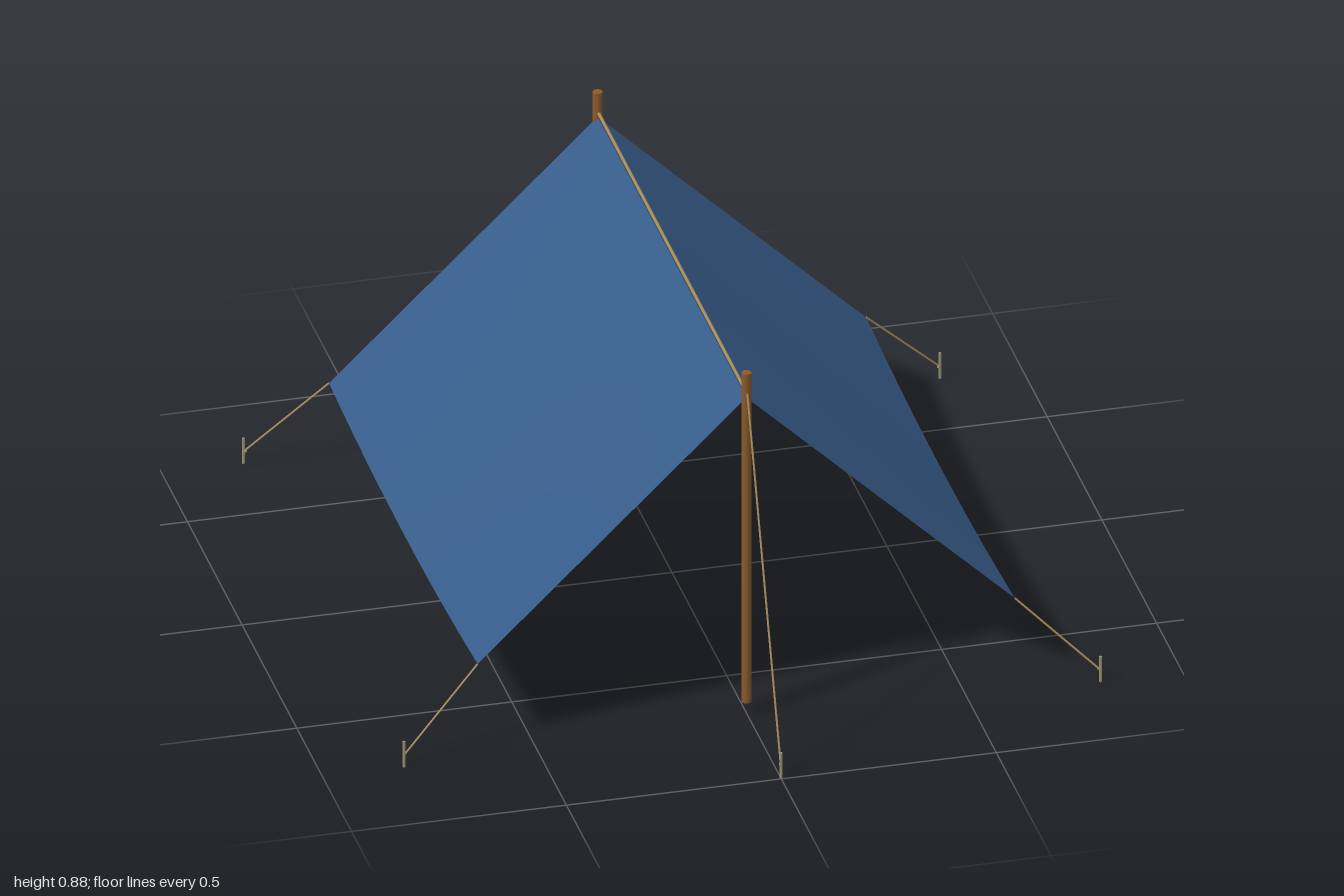
import * as THREE from 'three';

const mat = (name, color, side = THREE.FrontSide) => {
  const m = new THREE.MeshStandardMaterial({ color, side });
  m.name = name;
  return m;
};

export function createModel() {
  const group = new THREE.Group();
  const canvas = mat('blue canvas', 0x375c8a, THREE.DoubleSide);
  const wood = mat('brown wood', 0x8b5a2b);
  const cord = mat('tan cord', 0xa88f60);
  const metal = mat('peg metal', 0x9a9472);

  const halfWidth = 0.625, halfLength = 0.68, ridgeY = 0.81, eaveY = 0.21, sag = 0.025;

  const add = (name, geometry, material) => {
    const mesh = new THREE.Mesh(geometry, material);
    mesh.name = name;
    group.add(mesh);
    return mesh;
  };

  // Round rod between two points, used for poles, cords and pegs
  const rod = (name, a, b, radius, material, sides = 6) => {
    const from = new THREE.Vector3(...a), to = new THREE.Vector3(...b);
    const dir = to.clone().sub(from);
    const mesh = add(name, new THREE.CylinderGeometry(radius, radius, dir.length(), sides), material);
    mesh.position.copy(from).add(to).multiplyScalar(0.5);
    mesh.quaternion.setFromUnitVectors(new THREE.Vector3(0, 1, 0), dir.normalize());
    return mesh;
  };

  // Ground peg with a short hook that holds the cord
  const peg = (x, z) => {
    rod('peg', [x, 0, z], [x, 0.065, z], 0.0035, metal);
    const inward = new THREE.Vector3(-x, 0, -z).normalize().multiplyScalar(0.008);
    rod('pegHook', [x, 0.03, z], [x + inward.x, 0.033, z + inward.z], 0.003, metal);
  };

  // Sloping canvas panels: the lower edge hangs down between the corners
  for (const side of [-1, 1]) {
    const panel = new THREE.PlaneGeometry(1, 1, 12, 20);
    const p = panel.attributes.position;
    for (let i = 0; i < p.count; i++) {
      const t = p.getX(i) + 0.5, s = p.getY(i) * 2;
      const y = ridgeY + (eaveY - ridgeY) * t - sag * t * (1 - s * s);
      p.setXYZ(i, side * halfWidth * t, y, -side * halfLength * s);
    }
    panel.computeVertexNormals();
    add(side > 0 ? 'leftCanvas' : 'rightCanvas', panel, canvas);
  }

  // Ridge cord between the poles
  rod('ridgeCord', [0, 0.824, -halfLength], [0, 0.824, halfLength], 0.004, cord);

  for (const end of [-1, 1]) {
    const z = end * halfLength;
    // Upright pole, its guy line and peg
    rod('pole', [0, 0.03, z], [0, 0.875, z], 0.0115, wood, 12);
    rod('poleGuyLine', [0, 0.85, z], [0, 0.03, end * 0.996], 0.0025, cord);
    peg(0, end * 0.996);

    // Corner guy lines and pegs
    for (const side of [-1, 1]) {
      rod('cornerGuyLine', [side * halfWidth, eaveY, z], [side * 0.81, 0.03, end * 0.735], 0.0025, cord);
      peg(side * 0.81, end * 0.735);
    }
  }
  return group;
}
